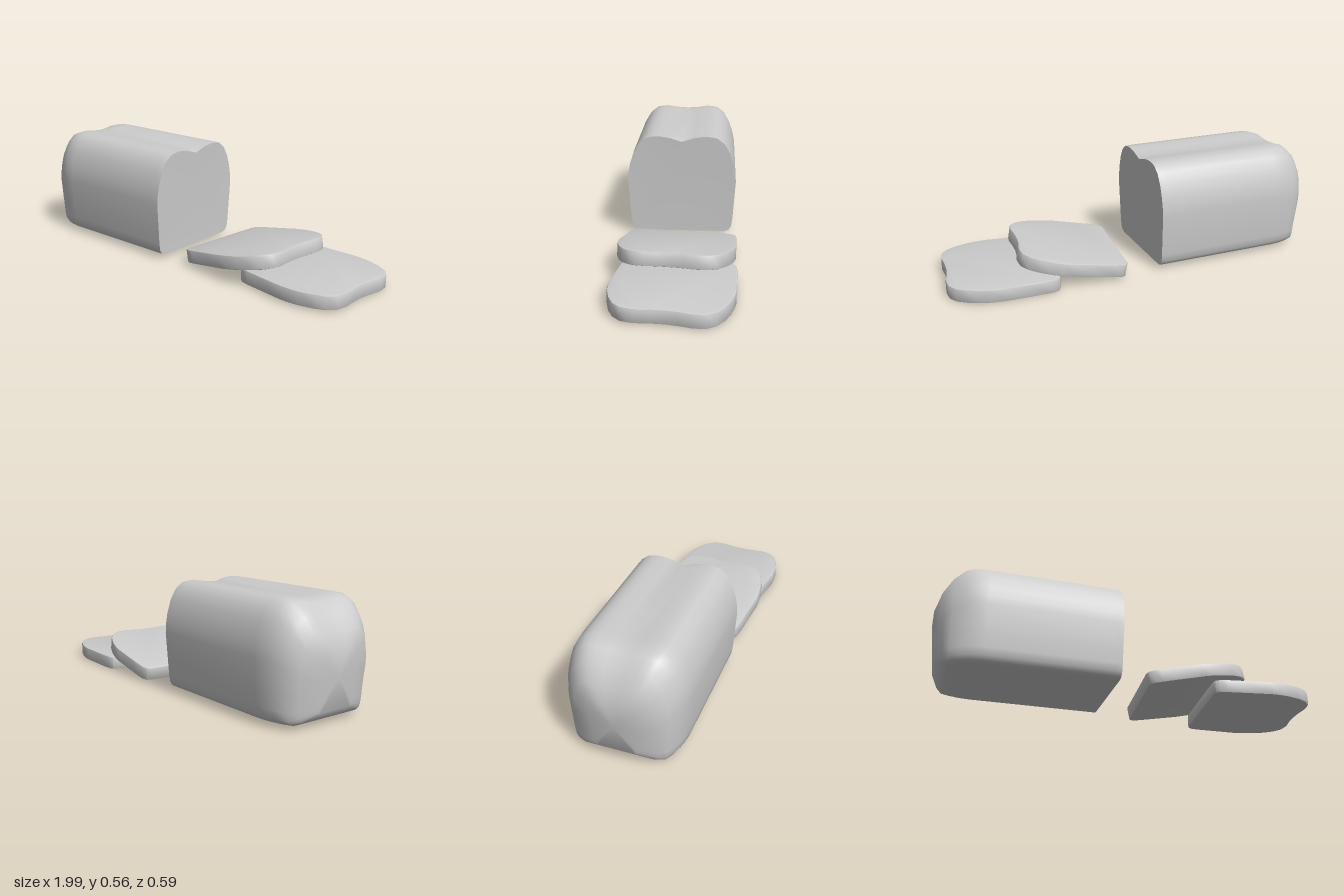
import * as THREE from 'three';
import { toCreasedNormals, mergeVertices } from 'three/addons/utils/BufferGeometryUtils.js';

const HEIGHT = 0.545;

// Half outline of a bread section: [half width, height], bottom to top
const HALF = [
  [0.235, 0], [0.258, 0.008], [0.272, 0.03], [0.278, 0.07], [0.284, 0.16],
  [0.293, 0.29], [0.289, 0.34], [0.28, 0.39], [0.259, 0.454], [0.23, 0.504],
  [0.19, 0.536], [0.16, 0.542], [0.125, 0.545], [0.065, 0.536],
];

// Closed outline, running up the +side, through the notch and down the -side
function outline(notch) {
  return [
    ...HALF,
    [0, notch],
    ...HALF.map(([w, h]) => [-w, h]).reverse(),
  ];
}

// Lofted loaf; each ring: x, width factor, top, bottom, forward lean of the foot, notch height
const RINGS = [
  [-1.0, 0.38, 0.35, 0.07, 0.03, 0.532],
  [-0.97, 0.70, 0.43, 0.035, 0.03, 0.532],
  [-0.925, 0.83, 0.50, 0.02, 0.01, 0.532],
  [-0.87, 0.92, 0.55, 0.02, 0, 0.532],
  [-0.82, 0.975, 0.565, 0.02, 0, 0.532],
  [-0.76, 1, 0.565, 0.02, 0, 0.532],
  [-0.12, 1, 0.562, 0.02, 0, 0.532],
  [-0.076, 1, 0.56, 0.02, -0.012, 0.515],
];

function loafGeometry() {
  const positions = [], index = [];
  const n = outline(0).length;
  for (const [x, width, top, bottom, lean, notch] of RINGS) {
    for (const [w, h] of outline(notch)) {
      const t = h / HEIGHT;
      positions.push(x + lean * (1 - t), bottom + t * (top - bottom), w * width + 0.004);
    }
  }
  for (let r = 0; r < RINGS.length - 1; r++) {
    for (let i = 0; i < n; i++) {
      const j = (i + 1) % n;
      const a = r * n + i, b = r * n + j, c = a + n, d = b + n;
      index.push(a, c, b, b, c, d);
    }
  }
  // Rounded end cap and slightly hollow cut face
  const last = (RINGS.length - 1) * n;
  const endCentre = positions.length / 3;
  positions.push(-0.99, 0.22, 0.004, -0.088, 0.28, 0.004);
  for (let i = 0; i < n; i++) {
    const j = (i + 1) % n;
    index.push(endCentre, i, j);
    index.push(endCentre + 1, last + j, last + i);
  }
  const geometry = new THREE.BufferGeometry();
  geometry.setAttribute('position', new THREE.Float32BufferAttribute(positions, 3));
  geometry.setIndex(index);
  return toCreasedNormals(geometry, 0.9);
}

// Slice lying flat: foot edge on x = 0, crown toward +x, underside on y = 0
function sliceGeometry() {
  const thickness = 0.07, bevel = 0.006;
  const shape = new THREE.Shape(outline(0.532).map(([w, h]) => new THREE.Vector2(h, w)));
  const geometry = new THREE.ExtrudeGeometry(shape, {
    depth: thickness - 2 * bevel,
    bevelEnabled: true,
    bevelThickness: bevel,
    bevelSize: bevel,
    bevelOffset: -bevel,
    bevelSegments: 2,
  });
  geometry.translate(0, 0, bevel);
  geometry.rotateX(-Math.PI / 2);
  geometry.deleteAttribute('uv');
  geometry.deleteAttribute('normal');
  return toCreasedNormals(mergeVertices(geometry), 0.7);
}

export function createModel() {
  const group = new THREE.Group();
  group.name = 'slicedBread';
  const material = new THREE.MeshStandardMaterial({ color: 0xcccccc });

  const loaf = new THREE.Mesh(loafGeometry(), material);
  loaf.name = 'loaf';
  group.add(loaf);

  // One slice flat on the ground, the other leaning on it
  const slice = sliceGeometry();
  const addSlice = (name, position, rotation) => {
    const mesh = new THREE.Mesh(slice, material);
    mesh.name = name;
    mesh.position.set(...position);
    mesh.rotation.set(...rotation);
    group.add(mesh);
  };
  addSlice('flatSlice', [0.437, 0.007, -0.022], [-0.02, -0.094, 0]);
  addSlice('leaningSlice', [0.09, 0.013, -0.022], [-0.01, -0.094, 0.187]);

  return group;
}
